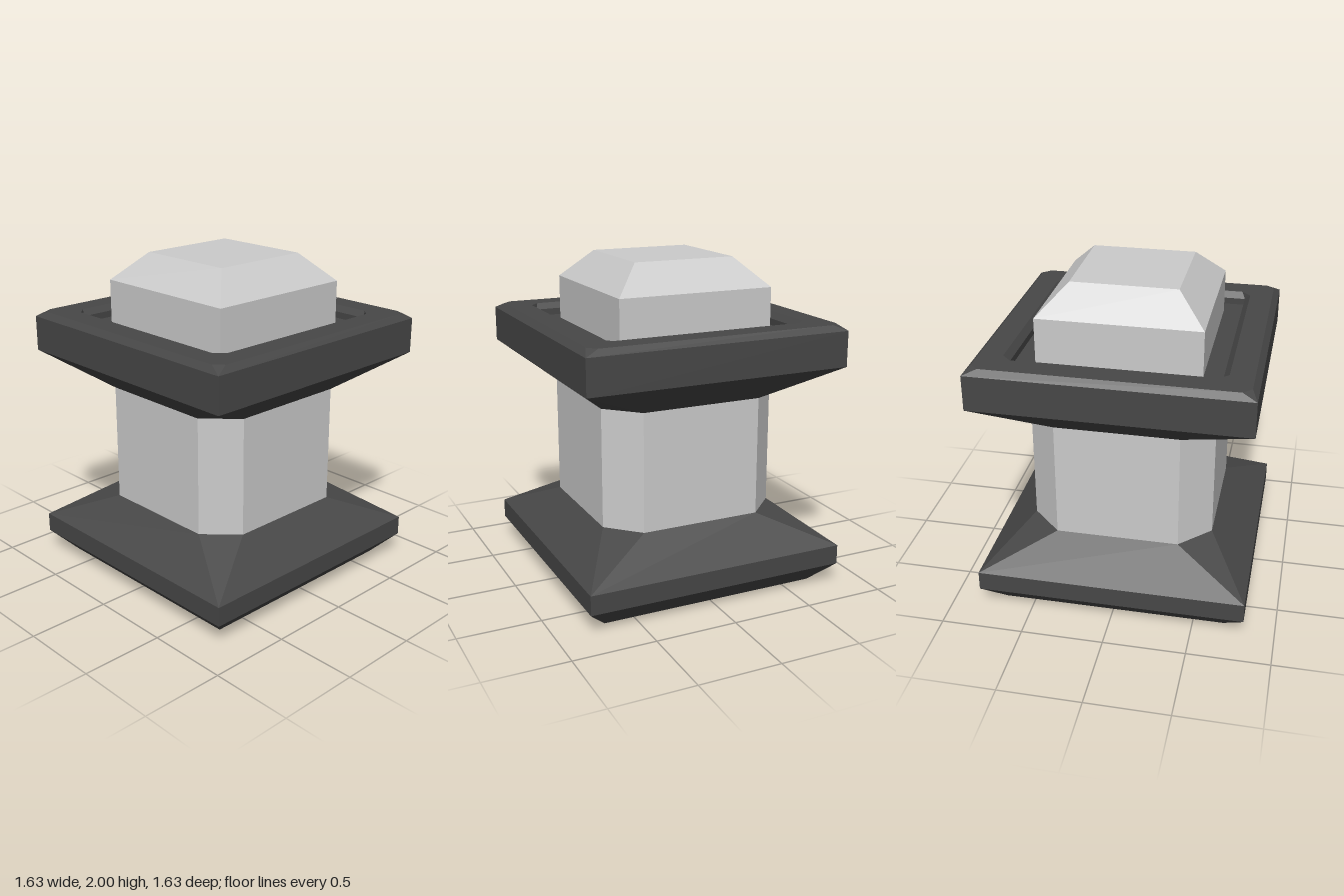
import * as THREE from 'three';

// Square ring with cut corners: h = half width, c = where the corner cut starts (c = h is a sharp square)
function ring([y, h, c = h]) {
  return [[-c, h], [c, h], [h, c], [h, -c], [c, -h], [-c, -h], [-h, -c], [-h, c]]
    .map(([x, z]) => new THREE.Vector3(x, y, z));
}

// Flat-faced solid through a stack of rings, closed at both ends
function loft(sections) {
  const rings = sections.map(ring);
  const pos = [];
  const tri = (a, b, c) => {
    if (a.equals(b) || b.equals(c) || c.equals(a)) return;
    for (const p of [a, b, c]) pos.push(p.x, p.y, p.z);
  };
  for (let i = 0; i < rings.length - 1; i++) {
    const lo = rings[i], hi = rings[i + 1];
    for (let j = 0; j < 8; j++) {
      const k = (j + 1) % 8;
      tri(lo[j], lo[k], hi[k]);
      tri(lo[j], hi[k], hi[j]);
    }
  }
  const first = rings[0], last = rings[rings.length - 1];
  for (let j = 1; j < 7; j++) {
    tri(first[0], first[j + 1], first[j]);
    tri(last[0], last[j], last[j + 1]);
  }
  const geo = new THREE.BufferGeometry();
  geo.setAttribute('position', new THREE.Float32BufferAttribute(pos, 3));
  geo.computeVertexNormals();
  return geo;
}

export function createModel() {
  const group = new THREE.Group();
  const light = new THREE.MeshStandardMaterial({ color: 0xcccccc, flatShading: true });
  const dark = new THREE.MeshStandardMaterial({ color: 0x474747, flatShading: true });
  const add = (name, material, sections) => {
    const mesh = new THREE.Mesh(loft(sections), material);
    mesh.name = name;
    group.add(mesh);
  };

  // Foot slab: sharp square that tapers to the cut-corner column
  add('base', dark, [[0, 0.685], [0.135, 0.815], [0.255, 0.815], [0.455, 0.56, 0.375]]);

  // Column with cut corners
  add('column', light, [[0.455, 0.56, 0.375], [1.185, 0.56, 0.375]]);

  // Upper slab with bevelled rim and a shallow recess
  add('capital', dark, [
    [1.185, 0.56, 0.375], [1.385, 0.815], [1.6, 0.815], [1.635, 0.78, 0.73],
    [1.635, 0.64, 0.585], [1.6, 0.605], [1.56, 0.605],
  ]);

  // Block with a sloped top, standing in the recess
  add('topBlock', light, [[1.56, 0.485], [1.83, 0.485], [2, 0.315]]);

  return group;
}
